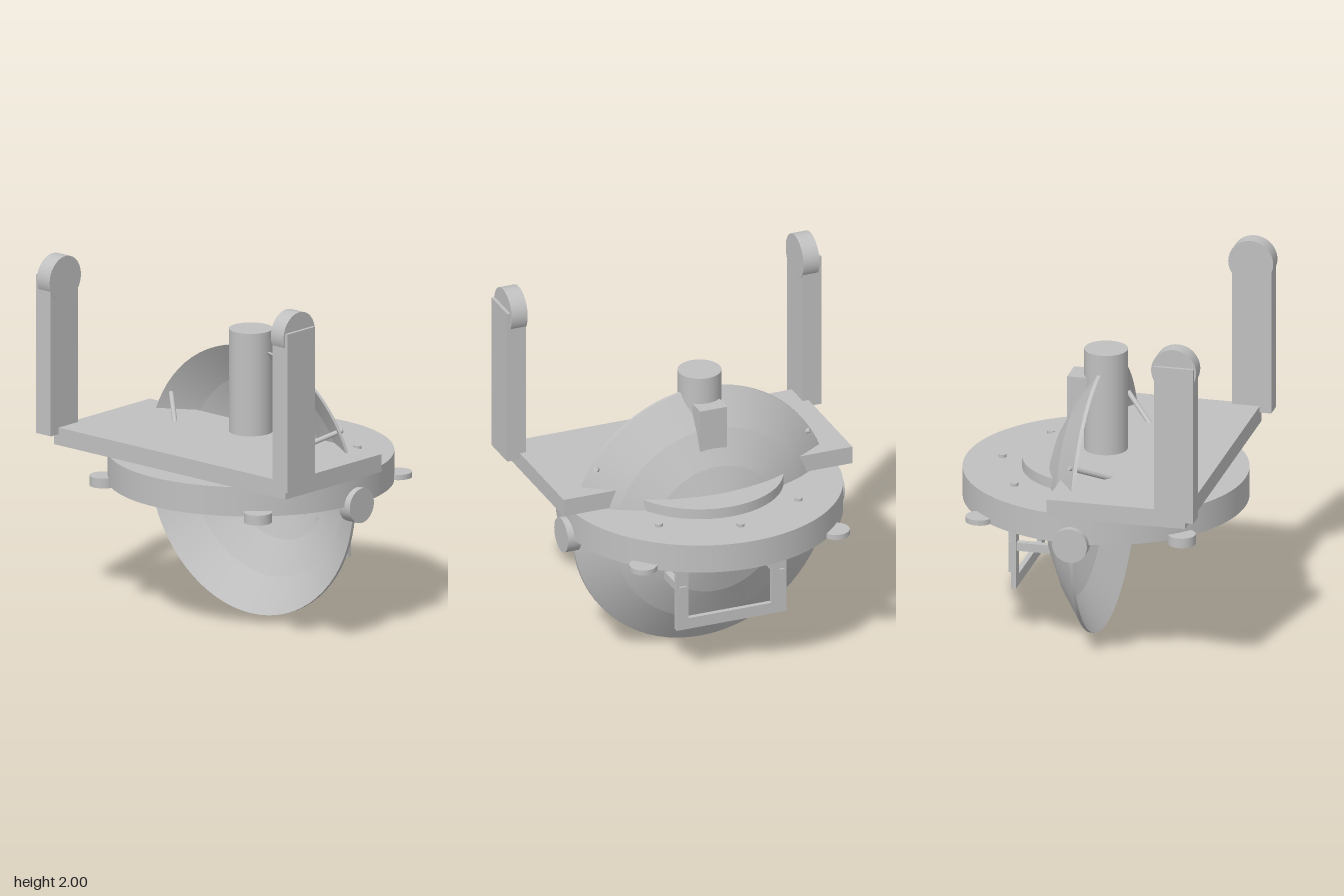
import * as THREE from 'three';
import { toCreasedNormals } from 'three/addons/utils/BufferGeometryUtils.js';

export function createModel() {
  const model = new THREE.Group();
  const grey = new THREE.MeshStandardMaterial({ color: 0xc0c0c0 });
  grey.name = 'light grey';

  const add = (name, geometry) => {
    const mesh = new THREE.Mesh(geometry, grey);
    mesh.name = name;
    model.add(mesh);
    return mesh;
  };
  // Box given by its lower and upper limits
  const box = (name, x0, x1, y0, y1, z0, z1) =>
    add(name, new THREE.BoxGeometry(x1 - x0, y1 - y0, z1 - z0))
      .position.set((x0 + x1) / 2, (y0 + y1) / 2, (z0 + z1) / 2);
  // Cylinder between two points
  const rod = (name, radius, a, b, sides = 48) => {
    const from = new THREE.Vector3(...a), to = new THREE.Vector3(...b);
    const dir = to.clone().sub(from);
    const mesh = add(name, new THREE.CylinderGeometry(radius, radius, dir.length(), sides));
    mesh.position.copy(from).add(to).multiplyScalar(0.5);
    mesh.quaternion.setFromUnitVectors(new THREE.Vector3(0, 1, 0), dir.normalize());
  };

  // Parabolic dish facing forward, with four conical bands
  const R = 0.755, back = [], inside = [];
  for (let i = 0; i <= 4; i++) {
    const z = -0.3 * (1 - (i / 4) ** 2);
    back.push(new THREE.Vector2(R * i / 4, z - 0.02));
    inside.unshift(new THREE.Vector2(R * i / 4, z));
  }
  const dish = new THREE.LatheGeometry([...back, ...inside], 72).rotateX(Math.PI / 2);
  add('dish', toCreasedNormals(dish, 0.12)).position.y = 0.757;
  rod('dishHub', 0.18, [0, 0.76, -0.29], [0, 0.76, -0.38]);

  // Feed at the dish centre
  rod('feed', 0.05, [0, 0.765, -0.3], [0, 0.765, 0.08]);
  box('feedStem', -0.013, 0.013, 0.61, 0.77, 0, 0.015);
  box('feedPanel', 0.013, 0.405, 0.637, 0.77, 0, 0.008);

  // Round base and turntable
  rod('baseDisc', 0.785, [0, 0.765, 0], [0, 0.93, 0], 96);
  rod('turntable', 0.46, [0, 0.92, 0], [0, 0.99, 0], 72);
  for (let i = 0; i < 8; i++) {
    const a = i * Math.PI / 4, x = 0.585 * Math.sin(a), z = 0.585 * Math.cos(a);
    rod('bolt', 0.022, [x, 0.92, z], [x, 0.947, z], 20);
  }

  // Upper plate, mast and its rear block
  box('plate', -0.855, 0.855, 0.937, 1.037, -0.12, 0.66);
  rod('mast', 0.12, [0, 0.95, 0], [0, 1.618, 0]);
  box('mastBlock', -0.08, 0.08, 1.2, 1.465, -0.2, -0.08);

  for (const s of [-1, 1]) {
    // Upright arms with round heads
    box('arm', s * 0.875 - 0.055, s * 0.875 + 0.055, 1, 1.9, 0.503, 0.725);
    rod('armHead', 0.127, [s * 0.817, 1.873, 0.61], [s * 0.911, 1.873, 0.61]);
    // Side knobs, feet and dish braces
    rod('sideKnob', 0.098, [s * 0.74, 0.763, 0], [s * 0.82, 0.763, 0]);
    rod('rearFoot', 0.077, [s * 0.57, 0.766, -0.57], [s * 0.57, 0.796, -0.57], 32);
    rod('frontFoot', 0.077, [s * 0.57, 0.74, 0.57], [s * 0.57, 0.796, 0.57], 32);
    rod('brace', 0.014, [s * 0.635, 1.147, -0.048], [s * 0.43, 1.025, 0.143], 16);
    // Struts from the dish to the rear frame
    box('strut', s * 0.29 - 0.02, s * 0.29 + 0.02, 0.508, 0.555, -0.467, -0.23);
  }

  // Rectangular rear frame with a vertical bar
  const outline = new THREE.Shape([[-0.325, 0.29], [0.325, 0.29], [0.325, 0.768], [-0.325, 0.768]]
    .map(p => new THREE.Vector2(...p)));
  outline.holes.push(new THREE.Path([[-0.255, 0.355], [-0.255, 0.705], [0.255, 0.705], [0.255, 0.355]]
    .map(p => new THREE.Vector2(...p))));
  add('rearFrame', new THREE.ExtrudeGeometry(outline, { depth: 0.028, bevelEnabled: false }))
    .position.z = -0.455;
  box('rearFrameBar', -0.275, -0.23, 0.365, 0.7, -0.48, -0.45);

  return model;
}
